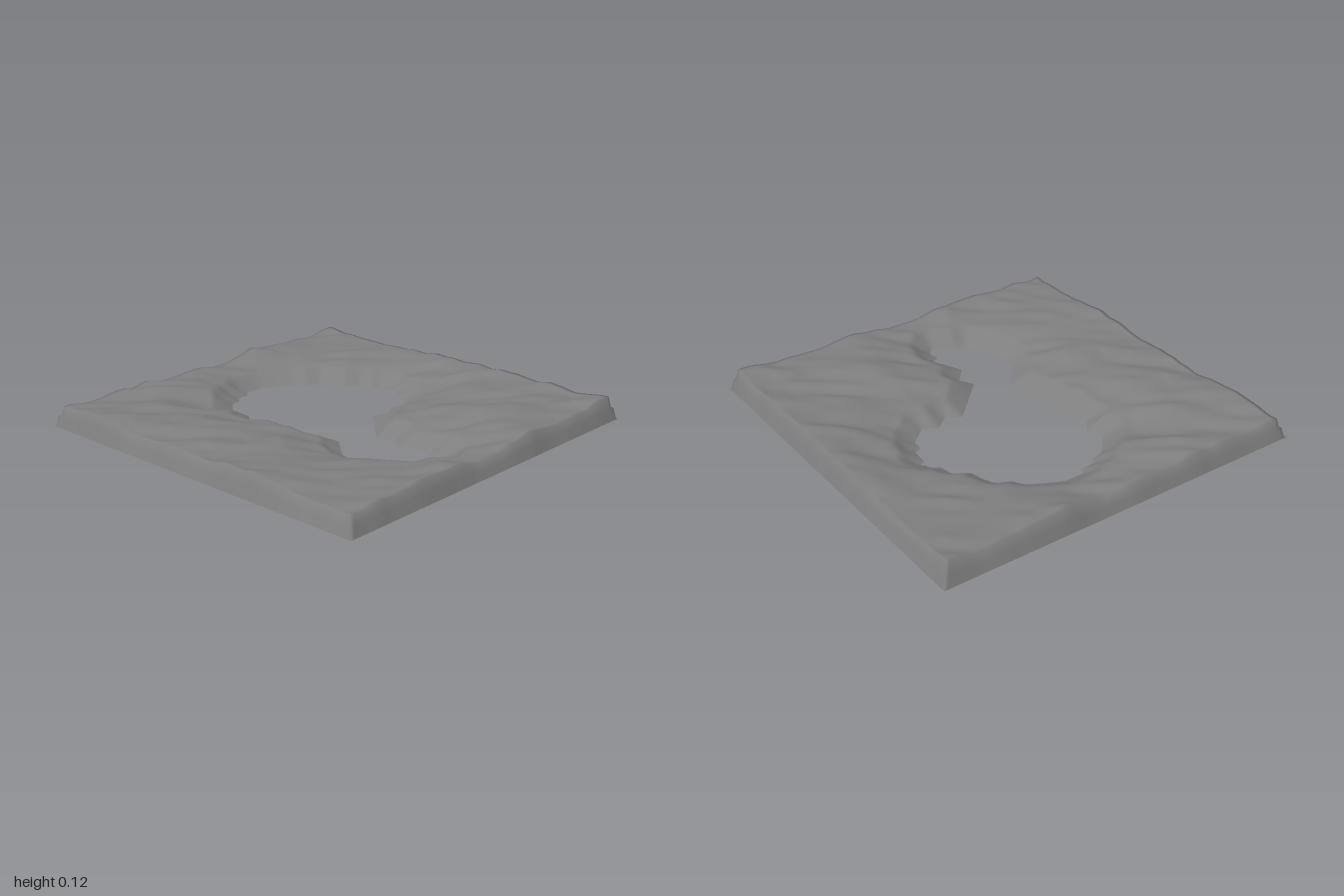
import * as THREE from 'three';

// Shoreline of the open basin, as x, z pairs
const SHORE = [
  -0.01, -0.665, 0.11, -0.665, 0.2, -0.62, 0.27, -0.58, 0.31, -0.52, 0.38, -0.49,
  0.41, -0.42, 0.42, -0.36, 0.5, -0.31, 0.51, -0.24, 0.55, -0.21, 0.575, -0.16,
  0.55, -0.155, 0.54, -0.06, 0.5, -0.05, 0.5, 0.01, 0.405, 0.095, 0.33, 0.055,
  0.255, 0.115, 0.18, 0.07, -0.05, 0.3, -0.005, 0.37, -0.08, 0.46, -0.005, 0.615,
  -0.05, 0.635, -0.03, 0.695, -0.075, 0.74, -0.13, 0.7, -0.17, 0.665, -0.235, 0.65,
  -0.345, 0.43, -0.32, 0.325, -0.2, 0.19, -0.23, 0.075, -0.255, -0.1, -0.285, -0.225,
  -0.305, -0.315, -0.24, -0.395, -0.285, -0.465, -0.18, -0.58, -0.11, -0.595,
  -0.11, -0.625, -0.01, -0.635,
];
const shore = [];
for (let i = 0; i < SHORE.length; i += 2) shore.push([SHORE[i], SHORE[i + 1]]);

// Nearest shoreline point, its distance, and whether the point lies in the basin
function probe(x, z) {
  let best = { d: Infinity, x, z }, inside = false;
  shore.forEach(([ax, az], i) => {
    const [bx, bz] = shore[(i + 1) % shore.length];
    const dx = bx - ax, dz = bz - az;
    const t = THREE.MathUtils.clamp(((x - ax) * dx + (z - az) * dz) / (dx * dx + dz * dz), 0, 1);
    const px = ax + t * dx, pz = az + t * dz, d = Math.hypot(x - px, z - pz);
    if (d < best.d) best = { d, x: px, z: pz };
    if (az > z !== bz > z && x < ax + ((z - az) / dz) * dx) inside = !inside;
  });
  return { ...best, inside };
}

// Creased value noise in the range -1 to 1
function hash(i, j) {
  const s = Math.sin(i * 127.1 + j * 311.7) * 43758.5453;
  return (s - Math.floor(s)) * 2 - 1;
}
function noise(u, v) {
  const i = Math.floor(u), j = Math.floor(v), a = u - i, b = v - j;
  const { lerp } = THREE.MathUtils;
  return lerp(lerp(hash(i, j), hash(i + 1, j), a), lerp(hash(i, j + 1), hash(i + 1, j + 1), a), b);
}

// Diagonal ripples on a plateau that falls to the basin and to the outer border
function heightAt(x, z, toShore) {
  const u = 0.78 * x + 0.62 * z, v = 0.78 * z - 0.62 * x;
  const ripples = 0.015 * noise(u * 3 + 7, v * 8) + 0.015 * noise(u * 6, v * 17 + 3);
  const bank = 0.058 * Math.min(1, toShore / 0.1) + 0.042 * THREE.MathUtils.smoothstep(toShore, 0.05, 0.42);
  const border = Math.min(1, (1 - Math.max(Math.abs(x), Math.abs(z))) / 0.04);
  const h = bank + ripples * Math.min(1, toShore / 0.12);
  return border * THREE.MathUtils.clamp(h, 0, 0.128);
}

function terrainGeometry(cells) {
  const step = 2 / cells;
  const geo = new THREE.PlaneGeometry(2, 2, cells, cells).rotateX(-Math.PI / 2);
  const pos = geo.attributes.position;
  const open = [];
  // Pull vertices near the shoreline onto it, lift the rest
  for (let i = 0; i < pos.count; i++) {
    let x = pos.getX(i), z = pos.getZ(i);
    const p = probe(x, z);
    const snap = p.d < step * (p.inside ? 1 : 0.4);
    open[i] = p.inside && !snap;
    if (snap) ({ x, z } = p);
    pos.setXYZ(i, x, open[i] ? 0 : heightAt(x, z, snap ? 0 : p.d), z);
  }
  // Leave out the triangles over the basin
  const old = geo.index.array, kept = [];
  for (let i = 0; i < old.length; i += 3) {
    const tri = [old[i], old[i + 1], old[i + 2]];
    if (tri.some((k) => open[k])) continue;
    const cx = tri.reduce((s, k) => s + pos.getX(k), 0) / 3;
    const cz = tri.reduce((s, k) => s + pos.getZ(k), 0) / 3;
    if (!probe(cx, cz).inside) kept.push(...tri);
  }
  geo.setIndex(kept);
  geo.computeVertexNormals();
  return geo;
}

export function createModel() {
  const group = new THREE.Group();
  group.name = 'terrainWithBasin';
  const material = new THREE.MeshStandardMaterial({ color: 0x7e7e7e, side: THREE.DoubleSide });
  const terrain = new THREE.Mesh(terrainGeometry(100), material);
  terrain.name = 'terrain';
  group.add(terrain);
  return group;
}
